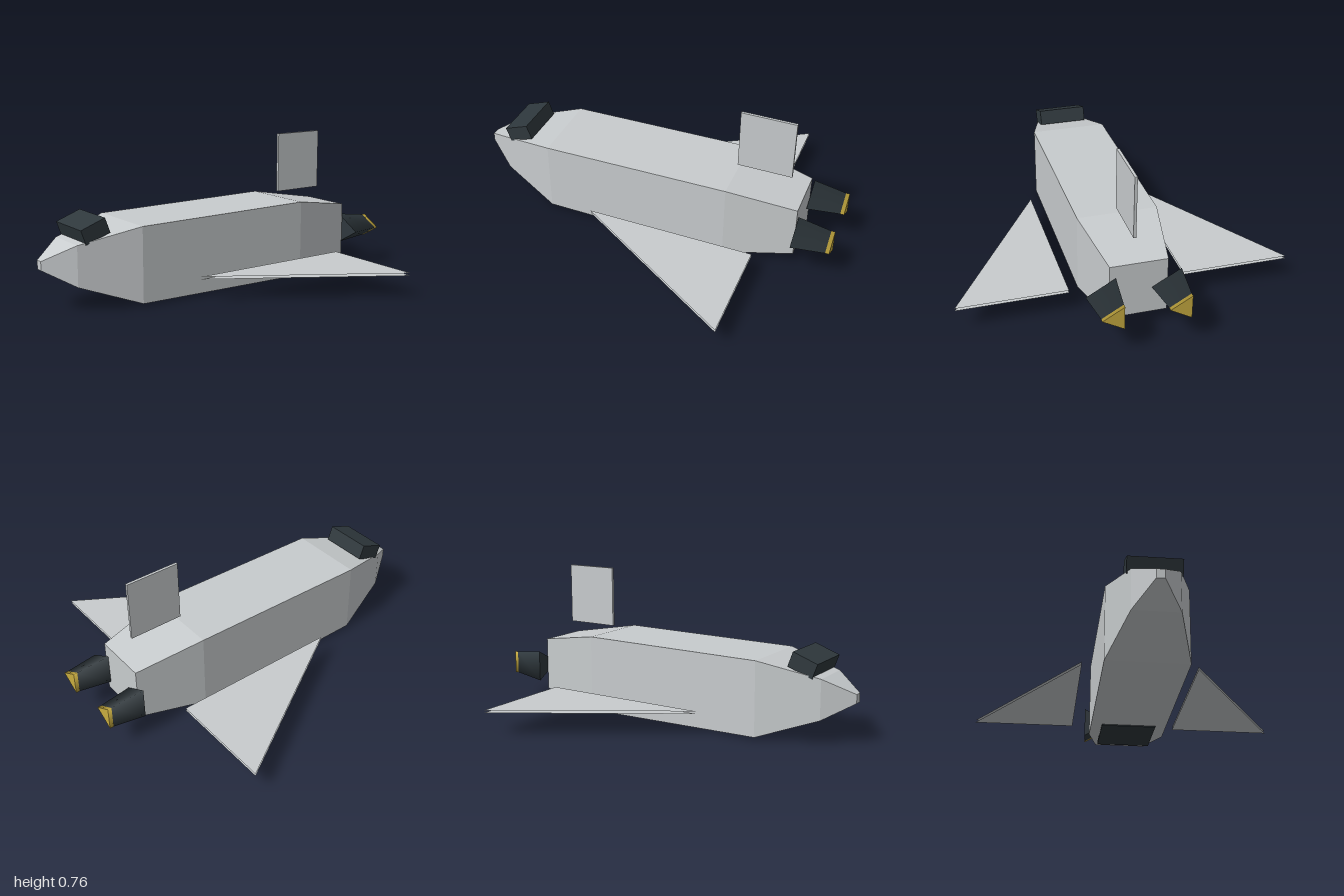
import * as THREE from 'three';

const material = (name, color, options = {}) => {
  const m = new THREE.MeshStandardMaterial({ color, ...options });
  m.name = name;
  return m;
};

export function createModel() {
  const group = new THREE.Group();
  const hullGrey = material('hull grey', 0xc8ccce, { flatShading: true, side: THREE.DoubleSide });
  const darkSlate = material('dark slate', 0x2f383d);
  const gold = material('gold', 0xc8ac40);

  const add = (name, geometry, mat, x = 0, y = 0, z = 0) => {
    const mesh = new THREE.Mesh(geometry, mat);
    mesh.name = name;
    mesh.position.set(x, y, z);
    group.add(mesh);
    return mesh;
  };

  const surface = (positions, index) => {
    const g = new THREE.BufferGeometry();
    g.setAttribute('position', new THREE.Float32BufferAttribute(positions, 3));
    g.setIndex(index);
    const flat = g.toNonIndexed();
    flat.computeVertexNormals();
    return flat;
  };

  // Fuselage: rectangular sections from nose to tail [z, half width, bottom, top]
  const sections = [
    [1.0, 0.02, 0.21, 0.255],
    [0.855, 0.113, 0.125, 0.33],
    [0.55, 0.203, 0.015, 0.4],
    [-0.445, 0.203, 0.004, 0.41],
    [-0.805, 0.142, 0.065, 0.35],
  ];
  const points = sections.flatMap(([z, w, b, t]) => [-w, b, z, w, b, z, w, t, z, -w, t, z]);
  const faces = [0, 1, 2, 0, 2, 3];
  for (let i = 0; i < sections.length - 1; i++) {
    for (let k = 0; k < 4; k++) {
      const a = i * 4 + k, b = i * 4 + (k + 1) % 4;
      faces.push(a, a + 4, b + 4, a, b + 4, b);
    }
  }
  const last = (sections.length - 1) * 4;
  faces.push(last, last + 2, last + 1, last, last + 3, last + 2);
  add('fuselage', surface(points, faces), hullGrey);

  // Cockpit window block, tilted down towards the nose
  add('cockpitWindow', new THREE.BoxGeometry(0.26, 0.08, 0.138), darkSlate, 0, 0.389, 0.764)
    .rotation.x = 0.35;

  // Tail fin and belly plate
  add('tailFin', new THREE.BoxGeometry(0.014, 0.32, 0.287), hullGrey, 0, 0.6, -0.587);
  add('bellyPlate', new THREE.BoxGeometry(0.29, 0.015, 0.32), darkSlate, 0, 0.0075, -0.44);

  for (const [side, s] of [['left', 1], ['right', -1]]) {
    // Delta wing: upper and lower skins with open edges
    const wing = [];
    for (const y of [0.126, 0.113]) wing.push(s * 0.29, y, 0.27, s * 0.84, y, -0.627, s * 0.29, y, -0.627);
    add(side + 'Wing', surface(wing, s > 0 ? [0, 1, 2, 3, 5, 4] : [0, 2, 1, 3, 4, 5]), hullGrey);

    // Three-sided engine nozzle and its exhaust
    const prism = (rear, front, length) =>
      new THREE.CylinderGeometry(rear, front, length, 3, 1, false, Math.PI / 2).rotateX(-Math.PI / 2);
    add(side + 'Nozzle', prism(0.07, 0.096, 0.172), darkSlate, s * 0.16, 0.205, -0.894);
    add(side + 'Exhaust', prism(0.07, 0.07, 0.02), gold, s * 0.16, 0.205, -0.99);
  }
  return group;
}
